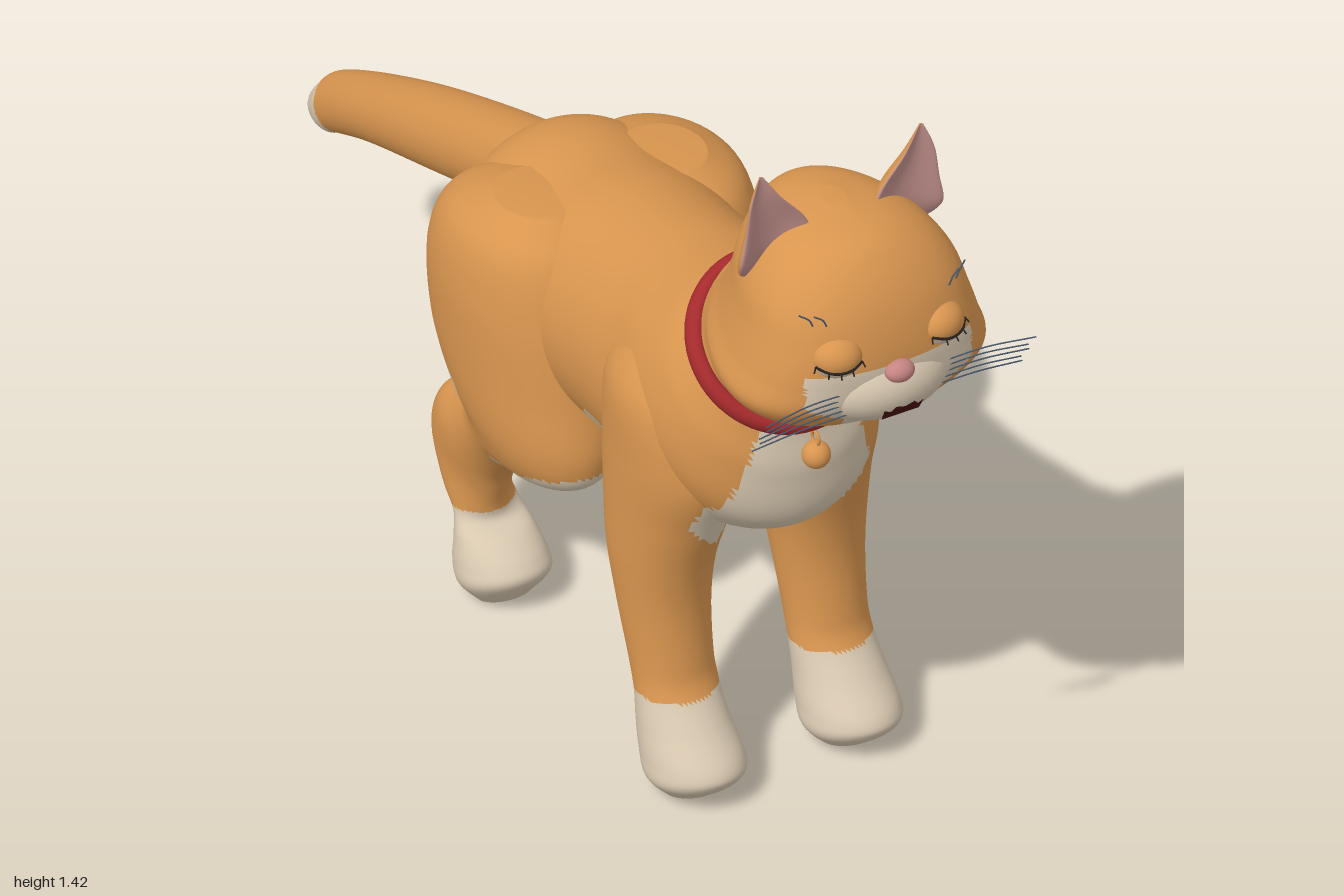
import * as THREE from 'three';

const mat = (name, color) => {
  const m = new THREE.MeshStandardMaterial({ color });
  m.name = name;
  return m;
};
const orange = mat('orange fur', 0xd8954f);
const cream = mat('cream fur', 0xd8c8b0);
const pink = mat('ear pink', 0xc2918c);
const nosePink = mat('nose pink', 0xc58482);
const red = mat('collar red', 0xa52a2c);
const maroon = mat('mouth maroon', 0x4a1216);
const dark = mat('lash dark', 0x2a2220);
const blue = mat('whisker slate', 0x4b5b70);

// Catmull-Rom blend of one number
const spline = (a, b, c, d, t) =>
  b + 0.5 * t * (c - a + t * (2 * a - 5 * b + 4 * c - d + t * (3 * (b - c) + d - a)));

// Smooth skin through rings [backZ, backY, frontZ, frontY, halfWidth, x, skew].
// paint(x, y, z, s) picks the second material; s runs -1 at the back to 1 at the front.
function loft(name, rings, side, mats, paint, around = 56, steps = 8) {
  const get = (i, j) => rings[Math.min(Math.max(i, 0), rings.length - 1)][j] ?? 0;
  const rows = [];
  for (let i = 0; i < rings.length - 1; i++) {
    for (let k = 0; k < steps; k++) {
      rows.push([0, 1, 2, 3, 4, 5, 6].map(j =>
        spline(get(i - 1, j), get(i, j), get(i + 1, j), get(i + 2, j), k / steps)));
    }
  }
  rows.push([0, 1, 2, 3, 4, 5, 6].map(j => get(rings.length - 1, j)));
  // close both ends on their centres
  const closed = r => {
    const z = (r[0] + r[2]) / 2, y = (r[1] + r[3]) / 2;
    return [z, y, z, y, 0, r[5], 0];
  };
  rows.unshift(closed(rows[0]));
  rows.push(closed(rows[rows.length - 1]));

  const pos = [];
  for (const [zb, yb, zf, yf, w, x, skew] of rows) {
    for (let a = 0; a < around; a++) {
      const t = (a / around) * Math.PI * 2, c = Math.cos(t);
      const d = 0.5 + 0.5 * (Math.sin(t) + skew * c * c);
      pos.push(x * side + Math.max(w, 0) * c, yb + (yf - yb) * d, zb + (zf - zb) * d);
    }
  }
  const lists = [[], []];
  const add = (a, b, c, s) => {
    const mid = j => (pos[a * 3 + j] + pos[b * 3 + j] + pos[c * 3 + j]) / 3;
    lists[paint && paint(Math.abs(mid(0)), mid(1), mid(2), s) ? 1 : 0].push(a, b, c);
  };
  for (let r = 0; r < rows.length - 1; r++) {
    for (let a = 0; a < around; a++) {
      const p = r * around + a, q = r * around + (a + 1) % around;
      const s = Math.sin(((a + 0.5) / around) * Math.PI * 2);
      if (r > 0) add(p, q, p + around, s);
      if (r < rows.length - 2) add(q, q + around, p + around, s);
    }
  }
  const g = new THREE.BufferGeometry();
  g.setAttribute('position', new THREE.Float32BufferAttribute(pos, 3));
  g.setIndex([...lists[0], ...lists[1]]);
  g.addGroup(0, lists[0].length, 0);
  g.addGroup(lists[0].length, lists[1].length, 1);
  g.computeVertexNormals();
  const m = new THREE.Mesh(g, mats);
  m.name = name;
  return m;
}

function mesh(name, geo, material, p = [0, 0, 0], scale = [1, 1, 1]) {
  const m = new THREE.Mesh(geo, material);
  m.name = name;
  m.position.set(...p);
  m.scale.set(...scale);
  return m;
}
const ball = (name, material, p, r) => mesh(name, new THREE.SphereGeometry(1, 32, 20), material, p, r);
const strand = (name, material, pts, r) => mesh(name, new THREE.TubeGeometry(
  new THREE.CatmullRomCurve3(pts.map(p => new THREE.Vector3(...p))), 12, r, 5), material);

// Cream markings
const chest = (x, y, z) => z > 0.53 && y < 1.0 && y > 0.45 &&
  x < (y > 0.8 ? 0.085 : y > 0.55 ? 0.085 + (0.8 - y) * 0.34 : 0.17 * Math.sqrt((y - 0.45) / 0.1));
const belly = (x, y, z) => z < 0.37 && z > -0.26 &&
  y < 0.5 + 0.1 * Math.exp(-(((z - 0.26) / 0.07) ** 4));
const face = (x, y, z) => z > 0.78 && y < 1.105 && y > 0.9 &&
  x < (y > 1.04 ? 0.16 : Math.max(0.085, 0.16 - (1.04 - y) * 1.9));
const bodyPaint = (x, y, z) => chest(x, y, z) || belly(x, y, z) || face(x, y, z);
const foreLegPaint = (x, y, z) => y < 0.18 || chest(x, y, z);
const hindLegPaint = (x, y, z) => y < 0.165 ||
  (x < 0.11 && y < 0.54 && y > 0.38) ||
  ((z + 0.15) / 0.1) ** 2 + ((y - 0.475) / 0.042) ** 2 < 1 ||
  (z > -0.02 && y < 0.365 + 0.27 * z);

// Head, neck and torso in one skin, crown to rump
const BODY = [
  [0.72, 1.311, 0.78, 1.311, 0.02], [0.645, 1.295, 0.865, 1.295, 0.085, 0, 0.1],
  [0.60, 1.265, 0.91, 1.26, 0.14, 0, 0.2], [0.575, 1.21, 0.945, 1.205, 0.18, 0, 0.25],
  [0.56, 1.15, 0.965, 1.14, 0.20, 0, 0.28], [0.54, 1.10, 0.97, 1.08, 0.218, 0, 0.3],
  [0.525, 1.07, 0.96, 1.02, 0.235, 0, 0.3], [0.50, 1.05, 0.92, 0.965, 0.212, 0, 0.22],
  [0.485, 1.03, 0.84, 0.93, 0.165, 0, 0.1], [0.468, 1.01, 0.74, 0.87, 0.145],
  [0.452, 0.988, 0.675, 0.80, 0.146], [0.40, 0.965, 0.68, 0.69, 0.19],
  [0.32, 0.94, 0.65, 0.57, 0.215], [0.24, 0.925, 0.50, 0.49, 0.21],
  [0.15, 0.91, 0.28, 0.48, 0.205], [0.05, 0.895, 0.12, 0.47, 0.21],
  [-0.05, 0.875, -0.02, 0.45, 0.215], [-0.15, 0.868, -0.13, 0.46, 0.21],
  [-0.22, 0.845, -0.22, 0.50, 0.18], [-0.265, 0.80, -0.265, 0.56, 0.13],
  [-0.285, 0.74, -0.285, 0.64, 0.06],
];
const FORE_LEG = [
  [0.36, 0.85, 0.50, 0.83, 0.05, 0.14], [0.30, 0.78, 0.56, 0.76, 0.09, 0.14],
  [0.28, 0.66, 0.59, 0.64, 0.105, 0.13], [0.295, 0.53, 0.555, 0.53, 0.10, 0.135],
  [0.32, 0.44, 0.525, 0.43, 0.09, 0.145], [0.355, 0.33, 0.515, 0.34, 0.08, 0.148],
  [0.39, 0.23, 0.525, 0.24, 0.073, 0.148], [0.412, 0.17, 0.54, 0.19, 0.073, 0.148],
  [0.418, 0.12, 0.585, 0.135, 0.077, 0.15], [0.43, 0.07, 0.635, 0.085, 0.084, 0.15],
  [0.455, 0.03, 0.635, 0.055, 0.084, 0.15], [0.50, 0.004, 0.59, 0.014, 0.055, 0.15],
];
const HIND_LEG = [
  [-0.12, 0.85, 0.04, 0.86, 0.07, 0.12], [-0.22, 0.80, 0.11, 0.81, 0.12, 0.135],
  [-0.265, 0.72, 0.15, 0.70, 0.14, 0.14], [-0.265, 0.60, 0.18, 0.55, 0.14, 0.14],
  [-0.22, 0.51, 0.195, 0.44, 0.125, 0.145], [-0.17, 0.44, 0.16, 0.375, 0.10, 0.15],
  [-0.155, 0.41, 0.03, 0.335, 0.08, 0.155], [-0.19, 0.385, -0.03, 0.30, 0.07, 0.16],
  [-0.245, 0.355, -0.075, 0.255, 0.065, 0.165], [-0.275, 0.29, -0.095, 0.21, 0.06, 0.165],
  [-0.235, 0.215, -0.105, 0.17, 0.058, 0.165], [-0.19, 0.16, -0.10, 0.145, 0.06, 0.16],
  [-0.18, 0.11, -0.06, 0.13, 0.07, 0.16], [-0.18, 0.06, -0.02, 0.10, 0.08, 0.16],
  [-0.16, 0.025, -0.01, 0.07, 0.08, 0.16], [-0.12, 0.005, -0.05, 0.015, 0.05, 0.16],
];
const TAIL = [
  [-0.15, 0.84, -0.10, 0.70, 0.07], [-0.28, 0.80, -0.22, 0.655, 0.077],
  [-0.58, 0.674, -0.52, 0.542, 0.071], [-0.80, 0.565, -0.755, 0.452, 0.06],
  [-0.93, 0.49, -0.895, 0.385, 0.05], [-0.965, 0.455, -0.925, 0.368, 0.046],
  [-0.985, 0.43, -0.96, 0.37, 0.035], [-0.998, 0.405, -0.988, 0.38, 0.014],
];
// cupped towards the front
const EAR = [
  [0.772, 1.42, 0.776, 1.42, 0.004, 0.154, 1.6], [0.755, 1.37, 0.775, 1.37, 0.030, 0.147, 1.6],
  [0.735, 1.31, 0.77, 1.31, 0.058, 0.128, 1.6], [0.715, 1.25, 0.765, 1.25, 0.07, 0.125, 1.5],
  [0.70, 1.21, 0.75, 1.21, 0.05, 0.13, 1],
];

export function createModel() {
  const cat = new THREE.Group();
  cat.name = 'cat';
  const fur = [orange, cream];
  cat.add(loft('body', BODY, 1, fur, bodyPaint, 96, 10));
  cat.add(loft('tail', TAIL, 1, fur, (x, y, z) => 0.9 * z + 0.44 * y < -0.645, 40, 12));

  // Muzzle, nose and open mouth
  const mc = [0, 1.045, 0.9], mr = [0.13, 0.075, 0.092];
  cat.add(ball('muzzle', cream, mc, mr));
  cat.add(ball('nose', nosePink, [0, 1.092, 0.975], [0.027, 0.02, 0.022]));
  const lips = new THREE.Shape([[-0.036, 1.003], [0.036, 1.003], [0.038, 1.03], [0.026, 1.025],
    [0.018, 1.035], [0, 1.03], [-0.018, 1.035], [-0.026, 1.025], [-0.038, 1.03]]
    .map(p => new THREE.Vector2(...p)));
  const mouth = new THREE.ShapeGeometry(lips), mp = mouth.attributes.position;
  for (let i = 0; i < mp.count; i++) {
    const u = mp.getX(i) / mr[0], v = (mp.getY(i) - mc[1]) / mr[1];
    mp.setZ(i, mc[2] + mr[2] * Math.sqrt(1 - u * u - v * v) + 0.005);
  }
  mouth.computeVertexNormals();
  cat.add(mesh('mouth', mouth, maroon));

  for (const s of [1, -1]) {
    const side = s > 0 ? 'left' : 'right';
    cat.add(loft(side + 'FrontLeg', FORE_LEG, s, fur, foreLegPaint));
    cat.add(loft(side + 'HindLeg', HIND_LEG, s, fur, hindLegPaint));
    cat.add(loft(side + 'Ear', EAR, s, [orange, pink], (x, y, z, f) => f > 0.05, 40, 6));

    // Closed eye with lower rim and lashes
    const eye = new THREE.Group();
    eye.name = side + 'Eye';
    eye.position.set(0.1 * s, 1.135, 0.938);
    eye.rotation.y = 0.3 * s;
    eye.add(ball('eyelid', orange, [0, 0, 0], [0.044, 0.036, 0.036]));
    eye.add(mesh('lowerRim', new THREE.SphereGeometry(1, 32, 12, 0, Math.PI * 2, Math.PI * 0.6, Math.PI * 0.4),
      cream, [0, 0, 0], [0.046, 0.038, 0.038]));
    const lash = [-0.04, -0.02, 0, 0.02, 0.04].map(x => {
      const y = -0.013 + 5 * x * x;
      return [x, y, 0.038 * Math.sqrt(Math.max(0, 1 - (x / 0.046) ** 2 - (y / 0.038) ** 2))];
    });
    eye.add(strand('lashLine', dark, lash, 0.0025));
    for (const [x, y, z] of lash) eye.add(strand('lash', dark, [[x, y, z], [x * 1.1, y - 0.009, z + 0.006]], 0.0015));
    cat.add(eye);

    // Brow hairs and whiskers
    for (const i of [0, 1]) {
      cat.add(strand('browHair', blue, [[(0.118 + 0.02 * i) * s, 1.2, 0.935 - 0.012 * i],
        [(0.125 + 0.02 * i) * s, 1.215, 0.935 - 0.012 * i], [(0.14 + 0.02 * i) * s, 1.225, 0.93 - 0.015 * i]], 0.0016));
    }
    for (let i = 0; i < 5; i++) {
      const y = 1.063 - i * 0.011, end = 1.07 - i * 0.02;
      cat.add(strand('whisker', blue, [[0.09 * s, y, 0.955], [0.17 * s, (y + end) / 2 + 0.005, 0.965 - 0.005 * i],
        [(0.26 - 0.008 * (i % 2)) * s, end, 0.98 - 0.012 * i]], 0.0014));
    }
  }

  // Collar with buckle and bell
  const collar = mesh('collar', new THREE.TorusGeometry(0.15, 0.016, 16, 64), red, [0, 0.893, 0.565], [1, 1, 1.25]);
  collar.rotation.x = -0.856;
  cat.add(collar);
  cat.add(ball('buckle', orange, [0.158, 0.89, 0.565], [0.009, 0.014, 0.014]));
  const ring = mesh('bellRing', new THREE.TorusGeometry(0.012, 0.003, 8, 20), orange, [0, 0.768, 0.69]);
  ring.rotation.y = Math.PI / 2;
  cat.add(ring);
  cat.add(ball('bell', orange, [0, 0.735, 0.692], [0.025, 0.025, 0.025]));
  return cat;
}
